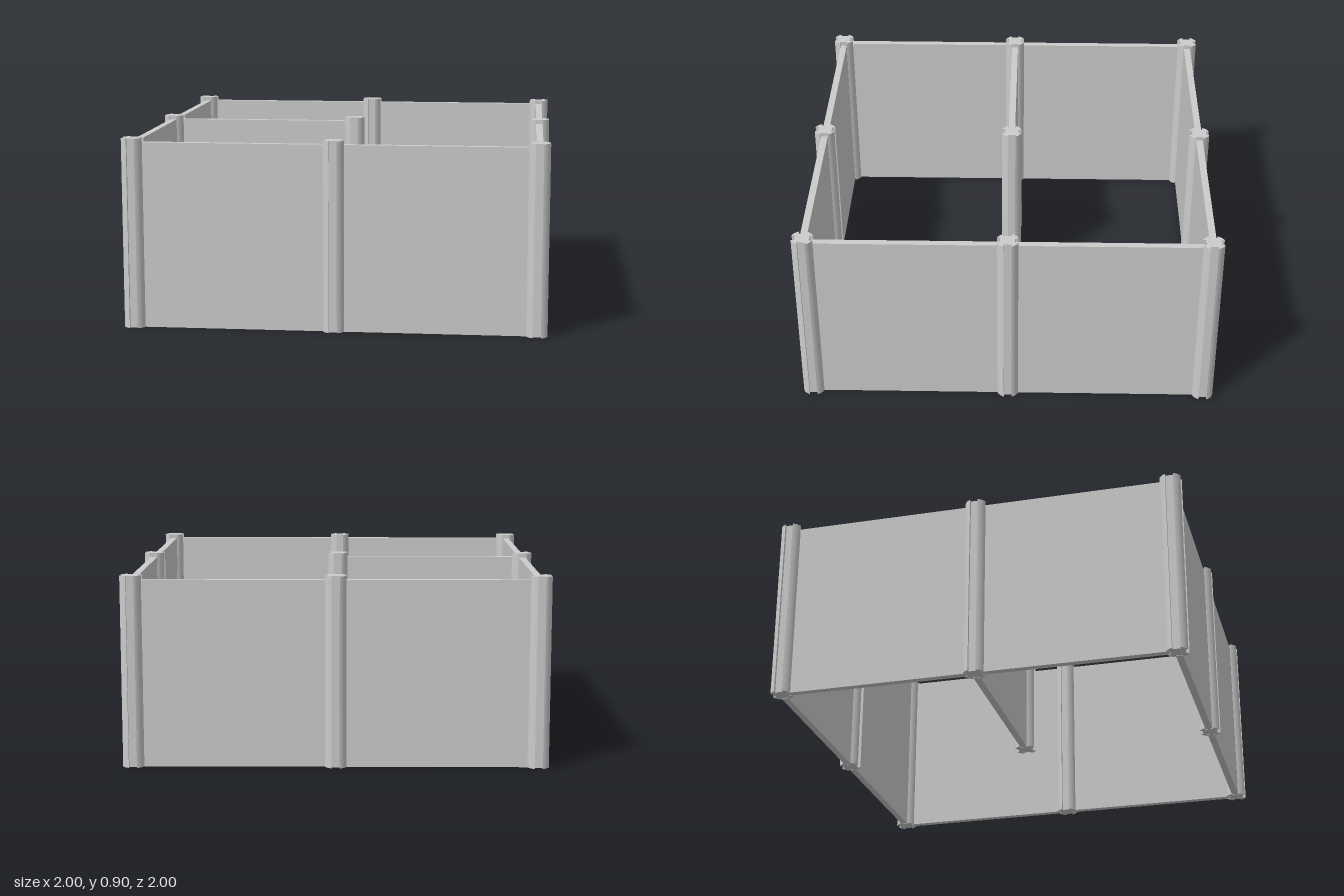
import * as THREE from 'three';
import { toCreasedNormals } from 'three/addons/utils/BufferGeometryUtils.js';

const SPACING = 0.95;
const POST_HEIGHT = 0.905, PANEL_HEIGHT = 0.885;
const RADIUS = 0.0535, SLOT_HALF = 0.019, SLOT_FLOOR = 0.035;
const PANEL_THICKNESS = 0.033, PANEL_START = 0.038, PANEL_END = 0.91;

// Round post section with a square slot on each of its four sides
function postGeometry() {
  const shape = new THREE.Shape();
  const a = Math.asin(SLOT_HALF / RADIUS);
  const steps = 6;
  for (let side = 0; side < 4; side++) {
    const turn = side * Math.PI / 2;
    const points = [
      new THREE.Vector2(SLOT_FLOOR, -SLOT_HALF),
      new THREE.Vector2(SLOT_FLOOR, SLOT_HALF),
    ];
    for (let i = 0; i <= steps; i++) {
      const t = a + (Math.PI / 2 - 2 * a) * i / steps;
      points.push(new THREE.Vector2(RADIUS * Math.cos(t), RADIUS * Math.sin(t)));
    }
    for (const p of points) {
      p.rotateAround(new THREE.Vector2(), turn);
      if (shape.curves.length === 0 && shape.currentPoint.lengthSq() === 0) shape.moveTo(p.x, p.y);
      else shape.lineTo(p.x, p.y);
    }
  }
  shape.closePath();
  const geometry = new THREE.ExtrudeGeometry(shape, { depth: POST_HEIGHT, bevelEnabled: false });
  geometry.rotateX(-Math.PI / 2);
  return toCreasedNormals(geometry, Math.PI / 6);
}

export function createModel() {
  const model = new THREE.Group();
  model.name = 'slottedPanelEnclosure';
  const material = new THREE.MeshStandardMaterial({ color: 0xcccccc });

  // Posts on a three by three grid
  const posts = new THREE.Group();
  posts.name = 'posts';
  const postGeo = postGeometry();
  for (const x of [-1, 0, 1]) {
    for (const z of [-1, 0, 1]) {
      const post = new THREE.Mesh(postGeo, material);
      post.name = 'post';
      post.position.set(x * SPACING, 0, z * SPACING);
      posts.add(post);
    }
  }
  model.add(posts);

  // Panels held between neighbouring posts
  const panels = new THREE.Group();
  panels.name = 'panels';
  const panelGeo = new THREE.BoxGeometry(PANEL_END - PANEL_START, PANEL_HEIGHT, PANEL_THICKNESS);
  const middle = (PANEL_START + PANEL_END) / 2;
  const addPanel = (name, x, z, turned) => {
    const panel = new THREE.Mesh(panelGeo, material);
    panel.name = name;
    panel.position.set(x, PANEL_HEIGHT / 2, z);
    if (turned) panel.rotation.y = Math.PI / 2;
    panels.add(panel);
  };
  for (const side of [-1, 1]) {
    for (const half of [-1, 1]) {
      addPanel(side > 0 ? 'frontPanel' : 'backPanel', half * middle, side * SPACING, false);
      addPanel(side > 0 ? 'leftPanel' : 'rightPanel', side * SPACING, half * middle, true);
    }
  }

  // Inner divider reaching the central post
  addPanel('dividerPanel', -middle, 0, false);
  model.add(panels);
  return model;
}
